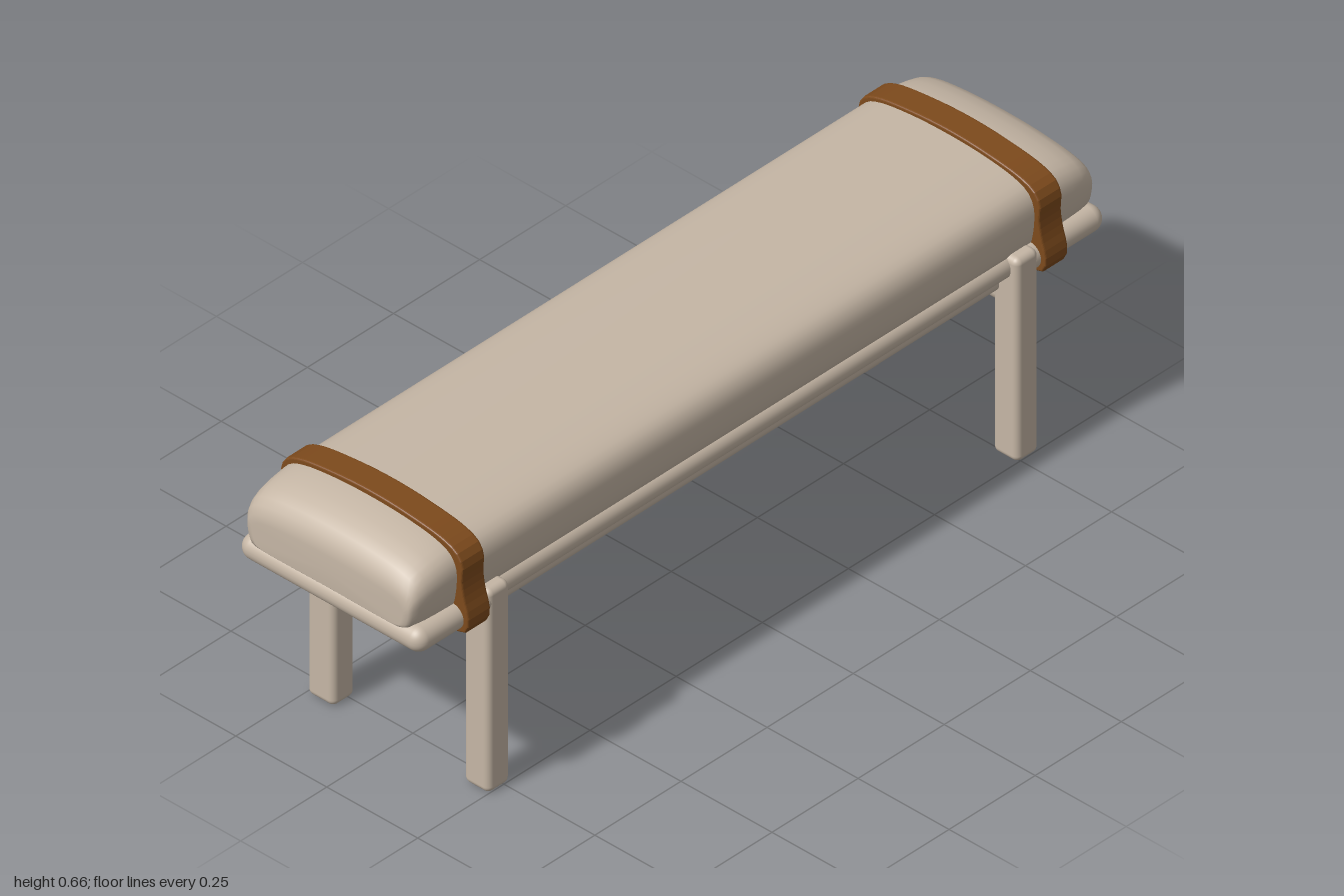
import * as THREE from 'three';
import { RoundedBoxGeometry } from 'three/addons/geometries/RoundedBoxGeometry.js';

const body = new THREE.MeshStandardMaterial({ color: 0xc5b6a5 });
body.name = 'warm beige';
const leather = new THREE.MeshStandardMaterial({ color: 0x7d4a1c });
leather.name = 'brown leather';

// Box given by its lower and upper corners, with rounded edges
function roundedBox(name, [x0, y0, z0], [x1, y1, z1], radius) {
  const geo = new RoundedBoxGeometry(x1 - x0, y1 - y0, z1 - z0, 5, radius);
  const mesh = new THREE.Mesh(geo, body);
  mesh.position.set((x0 + x1) / 2, (y0 + y1) / 2, (z0 + z1) / 2);
  mesh.name = name;
  return mesh;
}

// Closed smooth outline from one half, mirrored; points are (z, y) from top to bottom centre
function mirroredLoop(half, count) {
  const other = half.slice(1, -1).reverse().map(([z, y]) => [-z, y]);
  const points = [...half, ...other].map(([z, y]) => new THREE.Vector3(z, y, 0));
  return new THREE.CatmullRomCurve3(points, true, 'centripetal').getSpacedPoints(count).slice(0, count);
}

// Cushion: one domed section lofted along x and drawn in towards the ends
function cushionGeometry() {
  const section = mirroredLoop([
    [0, 0.653], [0.1, 0.649], [0.185, 0.636], [0.222, 0.619], [0.238, 0.59],
    [0.239, 0.55], [0.232, 0.505], [0.225, 0.488], [0.2, 0.48], [0, 0.48],
  ], 72);
  const ends = [ // x, width scale, height scale
    [0.84, 1, 1], [0.885, 0.998, 0.98], [0.92, 0.993, 0.935], [0.95, 0.985, 0.875],
    [0.972, 0.97, 0.79], [0.985, 0.95, 0.69], [0.993, 0.92, 0.56], [0.995, 0.86, 0.44],
  ];
  const stations = [...ends.map(([x, w, h]) => [-x, w, h]).reverse(), ...ends];
  const pos = [], index = [], n = section.length;
  for (const [x, w, h] of stations) {
    for (const p of section) pos.push(x, 0.5 + (p.y - 0.5) * h, p.x * w - 0.004);
  }
  for (let s = 0; s < stations.length - 1; s++) {
    for (let i = 0; i < n; i++) {
      const a = s * n + i, b = s * n + (i + 1) % n;
      index.push(a, b, a + n, b, b + n, a + n);
    }
  }
  // End caps
  const last = (stations.length - 1) * n, centre = pos.length / 3;
  pos.push(-0.995, 0.53, -0.004, 0.995, 0.53, -0.004);
  for (let i = 0; i < n; i++) {
    const j = (i + 1) % n;
    index.push(centre, j, i, centre + 1, last + i, last + j);
  }
  const geo = new THREE.BufferGeometry();
  geo.setAttribute('position', new THREE.Float32BufferAttribute(pos, 3));
  geo.setIndex(index.reverse());
  geo.computeVertexNormals();
  // Reverse the winding if the top faces down
  if (geo.attributes.normal.getY(stations.length / 2 * n) < 0) {
    geo.setIndex(index.reverse());
    geo.computeVertexNormals();
  }
  return geo;
}

// Strap: band around cushion and base, filled where it bridges the gap between them
function strapGeometry() {
  const loop = mirroredLoop([
    [0, 0.659], [0.1, 0.654], [0.2, 0.639], [0.234, 0.622], [0.246, 0.597],
    [0.244, 0.56], [0.25, 0.52], [0.262, 0.475], [0.257, 0.447], [0.23, 0.438], [0, 0.438],
  ], 80);
  const shape = new THREE.Shape(loop.map(p => new THREE.Vector2(p.x, p.y)));
  const geo = new THREE.ExtrudeGeometry(shape, {
    depth: 0.056, bevelEnabled: true, bevelSize: 0.004, bevelThickness: 0.005, bevelSegments: 3,
  });
  geo.translate(0, 0, -0.028);
  geo.rotateY(-Math.PI / 2);
  return geo;
}

export function createModel() {
  const bench = new THREE.Group();
  bench.name = 'bench';

  // Seat base, narrower between the legs, with a long rail under each edge
  bench.add(roundedBox('seatBase', [-0.8, 0.443, -0.243], [0.8, 0.5, 0.237], 0.028));
  bench.add(roundedBox('frontRail', [-0.76, 0.4, 0.14], [0.76, 0.46, 0.205], 0.02));
  bench.add(roundedBox('backRail', [-0.76, 0.4, -0.205], [0.76, 0.46, -0.14], 0.02));

  const cushion = new THREE.Mesh(cushionGeometry(), body);
  cushion.name = 'cushion';
  bench.add(cushion);

  // Overhanging base end, legs, cross rail and strap at each end
  const strapGeo = strapGeometry();
  for (const side of [-1, 1]) {
    const label = side > 0 ? 'left' : 'right';
    const x0 = side > 0 ? 0.735 : -0.8, x1 = x0 + 0.065;
    const inner = side > 0 ? 0.74 : -1;
    bench.add(roundedBox(label + 'BaseEnd', [inner, 0.44, -0.25], [inner + 0.26, 0.5, 0.254], 0.0295));
    bench.add(roundedBox(label + 'FrontLeg', [x0, 0, 0.185], [x1, 0.502, 0.255], 0.015));
    bench.add(roundedBox(label + 'BackLeg', [x0, 0, -0.246], [x1, 0.502, -0.171], 0.015));
    bench.add(roundedBox(label + 'CrossRail', [x0 + 0.002, 0.367, -0.21], [x1 - 0.002, 0.46, 0.22], 0.024));

    const strap = new THREE.Mesh(strapGeo, leather);
    strap.name = label + 'Strap';
    strap.position.x = side * 0.838;
    bench.add(strap);
  }
  return bench;
}
